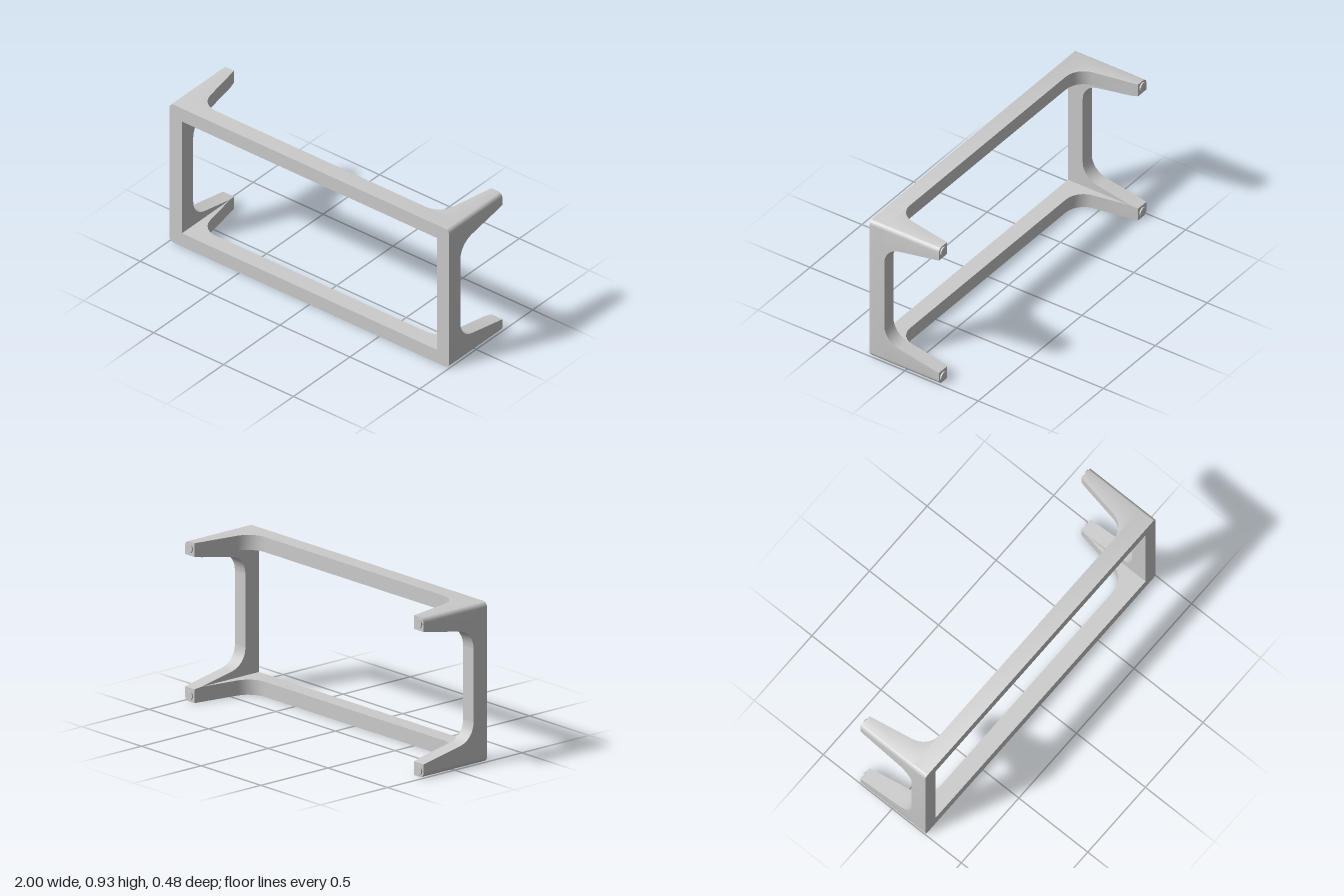
import * as THREE from 'three';
import { toCreasedNormals } from 'three/addons/utils/BufferGeometryUtils.js';

const W = 1, H = 0.465;            // half width and half height
const WALL = 0.088, R = 0.03;      // wall thickness and outer corner radius
const FRONT = 0.24, BACK = 0.14, TIP = -0.232;
const SWEEP = 1.39, FILLET = 0.12; // angle and radius of the curve into each leg
const CORNER_STEPS = 5;

const material = new THREE.MeshStandardMaterial({ color: 0xcccccc });

// Front rectangle with rounded outer corners and a square opening
function frameGeometry() {
  const s = new THREE.Shape();
  s.moveTo(W, -H + R);
  s.absarc(W - R, H - R, R, 0, Math.PI / 2);
  s.absarc(-W + R, H - R, R, Math.PI / 2, Math.PI);
  s.absarc(-W + R, -H + R, R, Math.PI, Math.PI * 1.5);
  s.absarc(W - R, -H + R, R, Math.PI * 1.5, Math.PI * 2);
  const x = W - WALL, y = H - WALL;
  s.holes.push(new THREE.Path([[-x, -y], [-x, y], [x, y], [x, -y]].map(p => new THREE.Vector2(...p))));
  const g = new THREE.ExtrudeGeometry(s, { depth: FRONT - BACK, bevelEnabled: false, curveSegments: CORNER_STEPS });
  g.translate(0, 0, BACK);
  return toCreasedNormals(g, 0.5);
}

// L-shaped section of a leg: a and b are the inner limits of its two arms
function legSection(a, b, z) {
  const x = Math.max(W - WALL, a), y = Math.max(H - WALL, b);
  const pts = [[a, H, z]];
  for (let i = 0; i <= CORNER_STEPS; i++) {
    const t = (Math.PI / 2) * (1 - i / CORNER_STEPS);
    pts.push([W - R + R * Math.cos(t), H - R + R * Math.sin(t), z]);
  }
  pts.push([W, b, z], [x, b, z], [x, y, z], [a, y, z]);
  return pts;
}

// Leg lofted from its tip to the frame, mirrored by the signs sx and sy
function legGeometry(sx, sy) {
  const a0 = 0.752, b0 = 0.215;
  const dx = FILLET * Math.sin(SWEEP);
  const zEnd = BACK - FILLET * (1 - Math.cos(SWEEP));
  const rings = [];
  // straight taper
  for (const f of [1, 0.84]) {
    rings.push(legSection(
      THREE.MathUtils.lerp(a0 + dx, 0.92, f),
      THREE.MathUtils.lerp(b0 + dx, 0.385, f),
      THREE.MathUtils.lerp(zEnd, TIP, f)));
  }
  // fillet into the frame
  for (let i = 6; i >= 0; i--) {
    const t = SWEEP * i / 6, d = FILLET * Math.sin(t);
    rings.push(legSection(a0 + d, b0 + d, BACK - FILLET * (1 - Math.cos(t))));
  }
  const n = rings[0].length, pos = [];
  const tri = (p, q, r) => {
    for (const v of sx * sy > 0 ? [p, q, r] : [p, r, q]) pos.push(v[0] * sx, v[1] * sy, v[2]);
  };
  for (let i = 0; i < rings.length - 1; i++) {
    for (let j = 0; j < n; j++) {
      const k = (j + 1) % n, A = rings[i], B = rings[i + 1];
      tri(A[j], B[j], B[k]);
      tri(A[j], B[k], A[k]);
    }
  }
  for (let j = 1; j < n - 1; j++) tri(rings[0][0], rings[0][j], rings[0][j + 1]);
  const g = new THREE.BufferGeometry();
  g.setAttribute('position', new THREE.Float32BufferAttribute(pos, 3));
  return toCreasedNormals(g, 0.5);
}

export function createModel() {
  const model = new THREE.Group();
  model.name = 'bracketFrame';
  const add = (name, geometry) => {
    const mesh = new THREE.Mesh(geometry, material);
    mesh.name = name;
    mesh.position.y = H;
    model.add(mesh);
    return mesh;
  };

  add('frontFrame', frameGeometry());

  for (const sx of [1, -1]) {
    for (const sy of [1, -1]) {
      const label = (sy > 0 ? 'upper' : 'lower') + (sx > 0 ? 'Left' : 'Right');
      add(label + 'Leg', legGeometry(sx, sy));
      // round pad on the leg tip
      const pad = new THREE.CylinderGeometry(0.028, 0.028, 0.012, 24);
      pad.rotateX(Math.PI / 2);
      pad.translate(sx * 0.961, sy * 0.428, TIP - 0.002);
      add(label + 'Pad', pad);
    }
  }
  return model;
}
